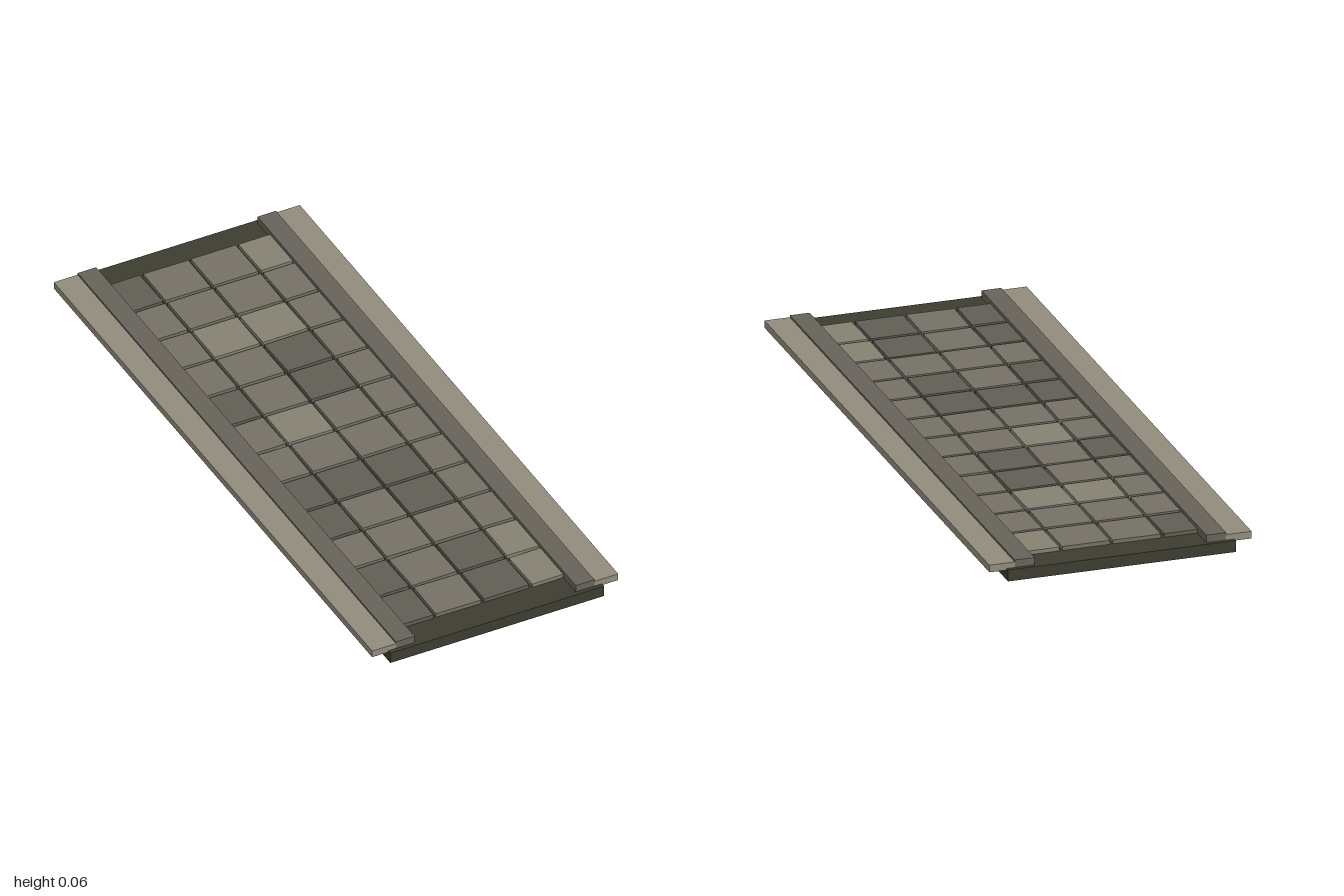
import * as THREE from 'three';

const material = (color) => new THREE.MeshStandardMaterial({ color, flatShading: true });

// Box given by its lower and upper corner
function block(name, [x0, y0, z0], [x1, y1, z1], mat) {
  const mesh = new THREE.Mesh(new THREE.BoxGeometry(x1 - x0, y1 - y0, z1 - z0), mat);
  mesh.position.set((x0 + x1) / 2, (y0 + y1) / 2, (z0 + z1) / 2);
  mesh.name = name;
  return mesh;
}

export function createModel() {
  const model = new THREE.Group();
  model.name = 'pavedRoadSection';
  const curbMat = material(0x67635a);
  const walkMat = material(0x918b7d);
  const tileMats = { d: material(0x615d54), m: material(0x757065), l: material(0x858072) };

  // Earth bed under the paving
  model.add(block('roadBed', [-0.345, 0, -1], [0.345, 0.035, 1], material(0x3d3c30)));

  // Raised curbs and overhanging walkways on both sides
  for (const [label, s] of [['left', 1], ['right', -1]]) {
    const span = (a, b) => (s > 0 ? [a, b] : [-b, -a]);
    const [c0, c1] = span(0.26, 0.32);
    const [w0, w1] = span(0.318, 0.397);
    model.add(block(label + 'Curb', [c0, 0.03, -0.987], [c1, 0.058, 0.987], curbMat));
    model.add(block(label + 'Walkway', [w0, 0.03, -0.987], [w1, 0.052, 0.987], walkMat));
  }

  // Paving slabs, back row first: d dark, m medium, l light
  const rows = ['dmml', 'mmmm', 'mllm', 'mmdm', 'dmdm', 'mlmm', 'mmmm', 'dddm'.replace(' ', ''),
    'dmdm', 'mmmm', 'dmdl', 'dmdl'];
  const pitchX = 0.154, pitchZ = 0.1525;
  let seed = 7;
  const jitter = (amount) => {
    seed = (seed * 16807) % 2147483647;
    return (seed / 2147483647 - 0.5) * 2 * amount;
  };
  const slabGeometry = new THREE.BoxGeometry(0.145, 0.017, 0.1415);
  const paving = new THREE.Group();
  paving.name = 'paving';
  rows.forEach((row, r) => {
    for (let c = 0; c < 4; c++) {
      const slab = new THREE.Mesh(slabGeometry, tileMats[row[c]]);
      slab.name = 'pavingSlab';
      slab.position.set((c - 1.5) * pitchX, 0.0385 + jitter(0.0006), (r - 5.5) * pitchZ);
      slab.rotation.y = jitter(0.02);
      paving.add(slab);
    }
  });
  model.add(paving);
  return model;
}
